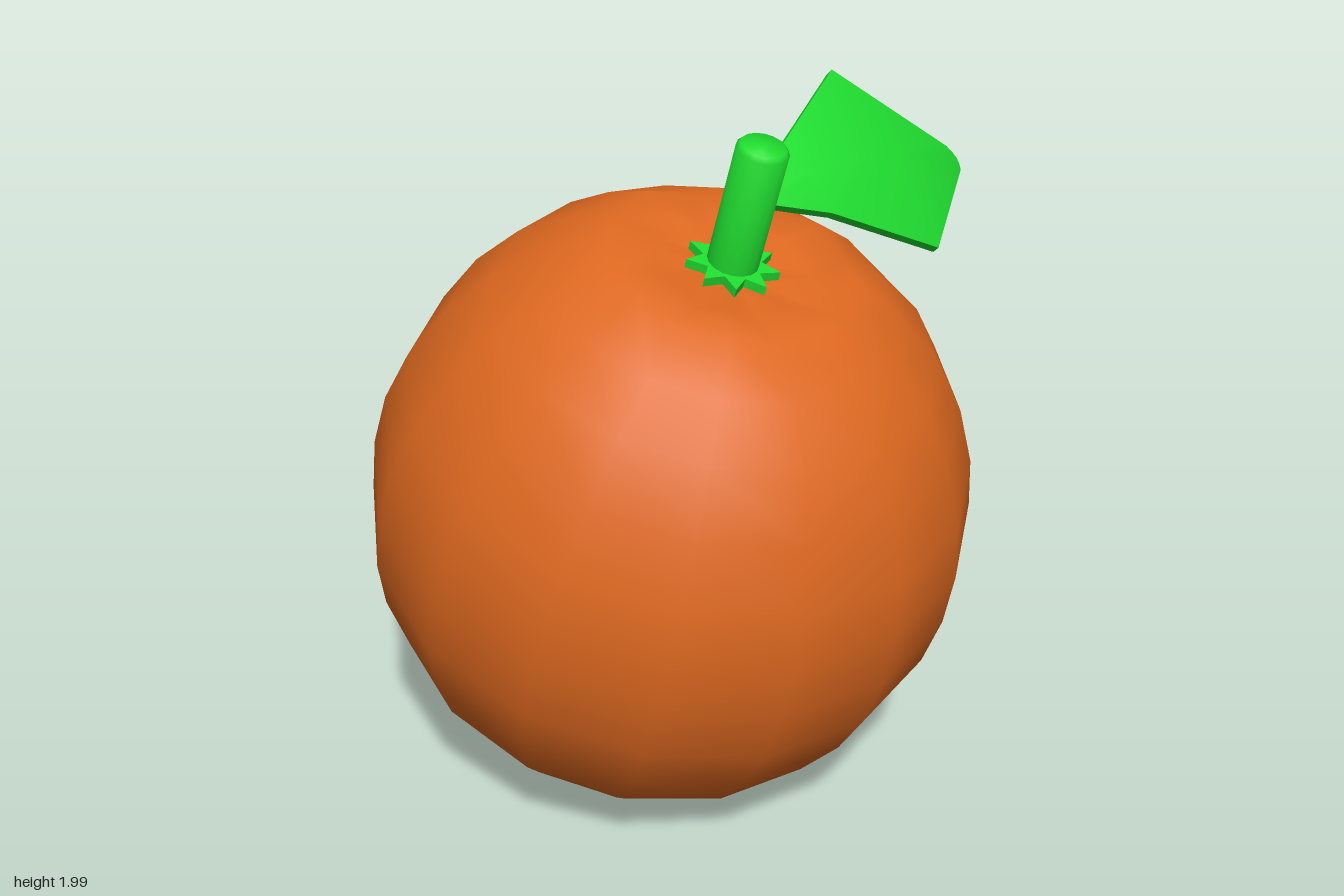
import * as THREE from 'three';
import { mergeVertices, toCreasedNormals } from 'three/addons/utils/BufferGeometryUtils.js';

const ORANGE = new THREE.MeshStandardMaterial({ color: 0xdd6820 });
const GREEN = new THREE.MeshStandardMaterial({ color: 0x20dd30, side: THREE.DoubleSide });

function mesh(name, geometry, material) {
  const m = new THREE.Mesh(geometry, material);
  m.name = name;
  return m;
}

// Lathe with a welded seam, so shading runs smoothly all the way round
function smoothLathe(profile, sides, adjust) {
  let g = new THREE.LatheGeometry(profile.map(([r, y]) => new THREE.Vector2(r, y)), sides);
  g.deleteAttribute('uv');
  g.deleteAttribute('normal');
  if (adjust) adjust(g.attributes.position);
  g = mergeVertices(g, 1e-4);
  g.computeVertexNormals();
  return g;
}

// Round fruit with a dimple at each pole and shallow creases around the stem
function makeFruit() {
  const profile = [
    [0, -0.78], [0.12, -0.79], [0.27, -0.82], [0.43, -0.765], [0.585, -0.63], [0.7, -0.49],
    [0.785, -0.31], [0.825, -0.164], [0.838, 0], [0.825, 0.164], [0.783, 0.315], [0.703, 0.482],
    [0.6, 0.622], [0.47, 0.735], [0.33, 0.825], [0.2, 0.81], [0.1, 0.785], [0, 0.775],
  ];
  return smoothLathe(profile, 16, (p) => {
    for (let i = 0; i < p.count; i++) {
      const r = Math.hypot(p.getX(i), p.getZ(i));
      if (p.getY(i) < 0.7 || r < 0.15) continue;
      const groove = (1 - Math.cos(8 * Math.atan2(p.getX(i), p.getZ(i)))) / 2;
      p.setY(i, p.getY(i) - groove * (r < 0.4 ? 0.025 : 0.008));
    }
  });
}

// Flat nine-pointed star under the stem
function makeCalyx() {
  const shape = new THREE.Shape();
  const points = 9;
  for (let i = 0; i < points * 2; i++) {
    const a = -Math.PI / 2 + (i * Math.PI) / points;
    const r = i % 2 ? 0.078 : 0.125;
    shape[i ? 'lineTo' : 'moveTo'](r * Math.cos(a), r * Math.sin(a));
  }
  shape.closePath();
  return new THREE.ExtrudeGeometry(shape, { depth: 0.025, bevelEnabled: false })
    .rotateX(-Math.PI / 2);
}

// Thick leaf lofted through arched cross-sections: [x, y, z, half width, arch]
function makeLeaf() {
  const stations = [
    [-0.05, 1.82, 0.28, 0.025, 0.005], [0.13, 1.83, 0.285, 0.115, 0.025],
    [0.48, 1.78, 0.24, 0.285, 0.045], [0.905, 1.655, 0.147, 0.04, 0.008],
    [0.92, 1.65, 0.143, 0.02, 0.003],
  ];
  const s = Math.SQRT1_2;
  const half = 0.012;
  const pos = [];
  const index = [];
  for (const [x, y, z, w, arch] of stations) {
    const ring = [[1, half], [0, arch + half], [-1, half], [-1, -half], [0, arch - half], [1, -half]];
    for (const [side, lift] of ring) {
      pos.push(x, y + s * (side * w + lift), z + s * (lift - side * w));
    }
  }
  const n = 6;
  const last = (stations.length - 1) * n;
  for (let i = 0; i < last; i += n) {
    for (let j = 0; j < n; j++) {
      const a = i + j, b = i + ((j + 1) % n);
      index.push(a, b, a + n, b, b + n, a + n);
    }
  }
  // End caps
  for (let j = 1; j < n - 1; j++) {
    index.push(0, j + 1, j, last, last + j, last + j + 1);
  }
  const g = new THREE.BufferGeometry();
  g.setAttribute('position', new THREE.Float32BufferAttribute(pos, 3));
  g.setIndex(index);
  return toCreasedNormals(g, 0.9);
}

export function createModel() {
  const model = new THREE.Group();
  model.name = 'orangeFruit';

  // Fruit, calyx and stem share one forward-tilted axis
  const tilted = new THREE.Group();
  tilted.name = 'tiltedFruit';
  tilted.position.set(-0.09, 0.87, 0);
  tilted.rotation.x = THREE.MathUtils.degToRad(17);
  tilted.add(mesh('fruit', makeFruit(), ORANGE));

  const calyx = mesh('calyx', makeCalyx(), GREEN);
  calyx.position.y = 0.79;
  tilted.add(calyx);

  const stemProfile = [[0, 0.77], [0.068, 0.77], [0.068, 1.148], [0.058, 1.16], [0, 1.162]];
  tilted.add(mesh('stem', toCreasedNormals(smoothLathe(stemProfile, 16), 0.9), GREEN));

  model.add(tilted, mesh('leaf', makeLeaf(), GREEN));
  return model;
}
